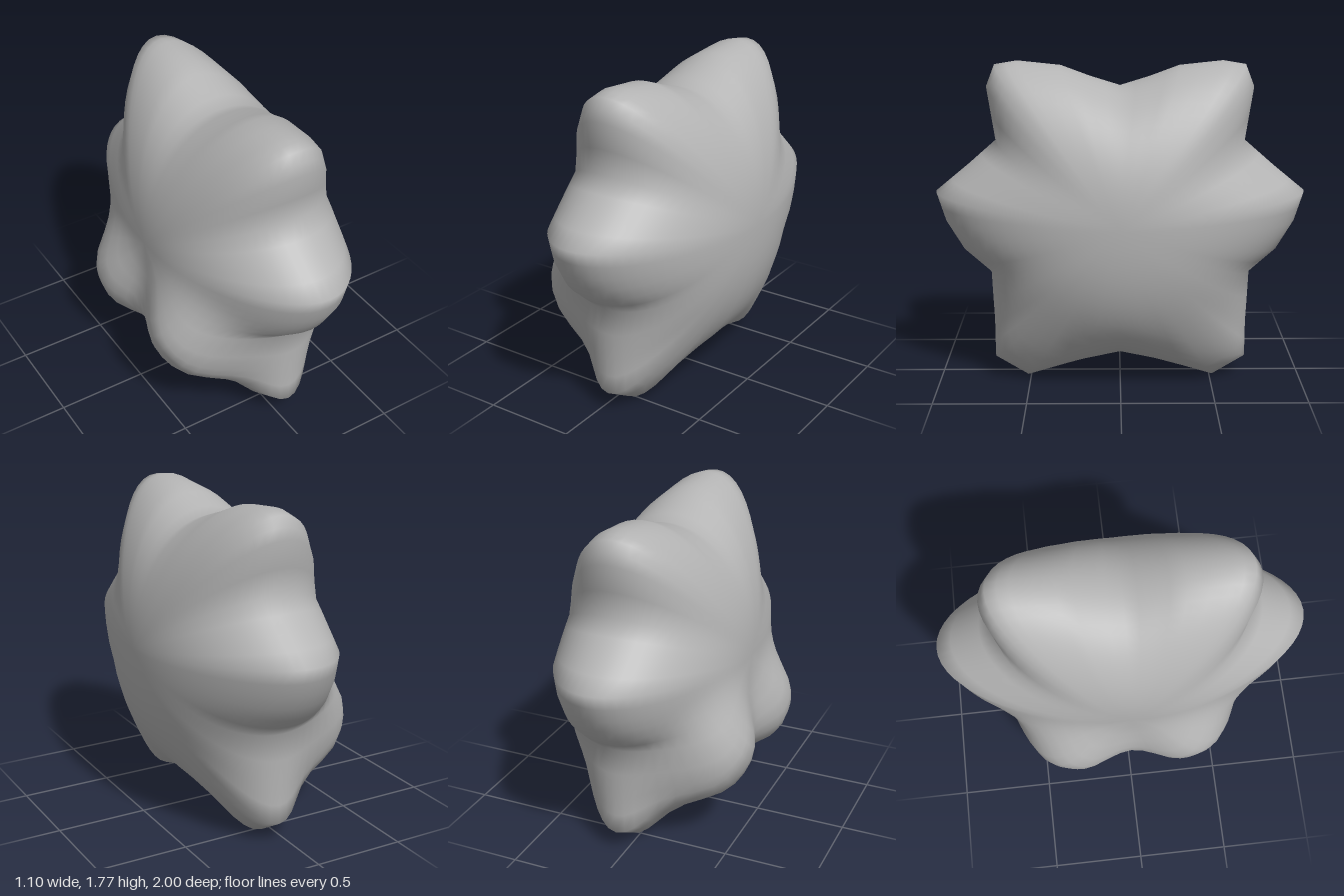
import * as THREE from 'three';
import { mergeVertices } from 'three/addons/utils/BufferGeometryUtils.js';

// Half outline of the six-pointed body in the z/y plane, from top to bottom
const HALF = [
  [0, 1.63], [0.16, 1.68], [0.32, 1.74], [0.55, 1.765], [0.67, 1.745], [0.715, 1.63], [0.67, 1.34],
  [0.83, 1.2], [1, 1.06], [0.95, 0.9], [0.86, 0.75], [0.71, 0.62], [0.7, 0.32],
  [0.7, 0.11], [0.52, 0], [0.2, 0.1], [0, 0.15],
];
const CENTER = new THREE.Vector3(0.05, 0.95, 0);
const HALF_WIDTH = 0.49;
const ROWS = 32;
const SUB = 2;
const { smoothstep } = THREE.MathUtils;

// Full closed outline, mirrored front to back and subdivided
function outline() {
  const mirrored = HALF.slice(1, -1).reverse().map(([z, y]) => [-z, y]);
  const ring = [...HALF, ...mirrored];
  const out = [];
  ring.forEach(([z, y], i) => {
    const [z2, y2] = ring[(i + 1) % ring.length];
    for (let s = 0; s < SUB; s++) {
      const f = s / SUB;
      out.push([z + (z2 - z) * f, y + (y2 - y) * f]);
    }
  });
  return out;
}

// Radius toward an outline point of length R; c falls from 1 at the rim to 0 at the side poles.
// A smooth domed core carries the points, which fade out quickly away from the rim.
function radiusAt(R, rise, c) {
  const up = smoothstep(rise, 0, 0.9);
  const down = smoothstep(-rise, 0.3, 0.75);
  const core = 0.8 - 0.09 * up;
  const fade = 1.5 + 0.5 * up + 4 * down;
  return Math.pow(c, 0.85 + 0.1 * up) * (core + (R - core) * Math.pow(c, fade));
}

// Two knobs swell out of the lower -x side
function addKnobs(p) {
  const start = p.clone();
  for (const side of [1, -1]) {
    const d = start.distanceTo(new THREE.Vector3(-0.33, 0.5, 0.33 * side));
    const w = 0.2 * Math.exp(-Math.pow(d / 0.3, 3));
    p.add(new THREE.Vector3(-1, -0.3, 0.2 * side).multiplyScalar(w));
  }
  return p;
}

function bodyGeometry() {
  const ring = outline();
  const n = ring.length;
  const positions = [];
  const index = [];
  for (let i = 0; i <= ROWS; i++) {
    const t = -Math.PI / 2 + (Math.PI * i) / ROWS;
    const c = i === 0 || i === ROWS ? 0 : Math.cos(t);
    for (const [z, y] of ring) {
      const dy = y - CENTER.y;
      const R = Math.hypot(z, dy);
      const r = radiusAt(R, dy / R, c);
      const p = new THREE.Vector3(
        CENTER.x + HALF_WIDTH * Math.sin(t),
        CENTER.y + (dy / R) * r,
        (z / R) * r,
      );
      positions.push(...addKnobs(p).toArray());
    }
  }
  // Rows of quads, with single triangles at both poles
  for (let i = 0; i < ROWS; i++) {
    for (let j = 0; j < n; j++) {
      const a = i * n + j;
      const b = i * n + ((j + 1) % n);
      if (i > 0) index.push(a, b, a + n);
      if (i < ROWS - 1) index.push(b, b + n, a + n);
    }
  }
  let geo = new THREE.BufferGeometry();
  geo.setAttribute('position', new THREE.Float32BufferAttribute(positions, 3));
  geo.setIndex(index);
  geo = mergeVertices(geo, 1e-4);
  geo.computeVertexNormals();
  return geo;
}

export function createModel() {
  const group = new THREE.Group();
  group.name = 'lobedStone';
  const stone = new THREE.MeshStandardMaterial({ color: 0xb4b4b4 });
  stone.name = 'stoneGrey';
  const body = new THREE.Mesh(bodyGeometry(), stone);
  body.name = 'stoneBody';
  group.add(body);
  return group;
}
